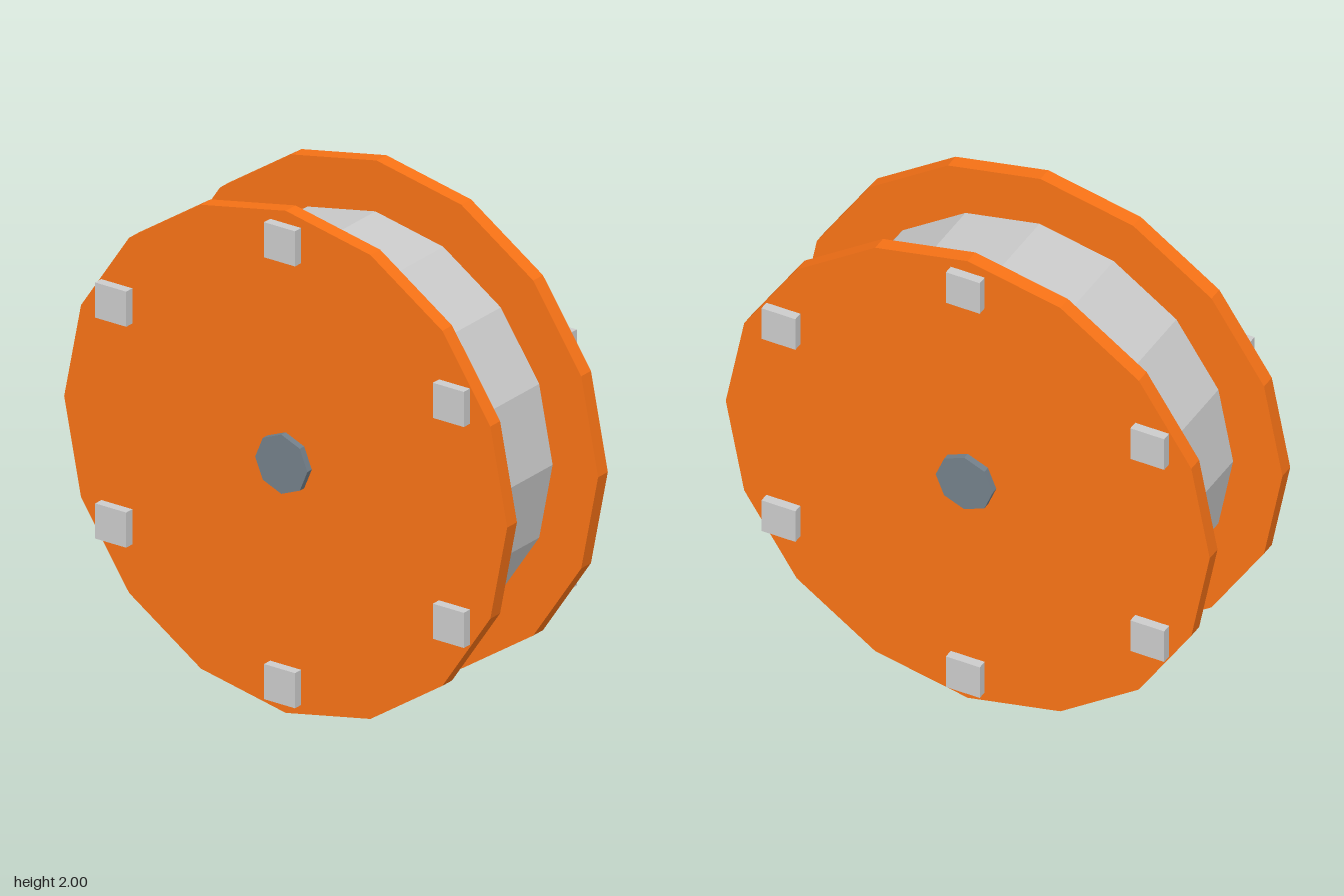
import * as THREE from 'three';

export function createModel() {
  const group = new THREE.Group();
  const mat = (color) => new THREE.MeshStandardMaterial({ color, flatShading: true });
  const orange = mat(0xf97316);
  const grey = mat(0xcccccc);
  const steel = mat(0x74808a);

  const add = (name, geometry, material, x, y, z) => {
    const mesh = new THREE.Mesh(geometry, material);
    mesh.name = name;
    mesh.position.set(x, y, z);
    group.add(mesh);
  };

  // Cylinder lying along x, with a corner pointing straight up
  const roller = (radius, length, sides) =>
    new THREE.CylinderGeometry(radius, radius, length, sides).rotateZ(Math.PI / 2);

  // Drum, inner core and axle share one axis
  add('drum', roller(0.8, 0.486, 16), grey, 0, 1, 0);
  add('core', roller(0.52, 0.51, 12), orange, 0, 1, 0);
  add('axle', roller(0.118, 0.674, 8), steel, 0, 1, 0);

  // Flanges with a ring of six square bolts on each side
  const flange = roller(1, 0.06, 16);
  const bolt = new THREE.BoxGeometry(0.05, 0.14, 0.14);
  for (const side of [-1, 1]) {
    const label = side > 0 ? 'left' : 'right';
    add(label + 'Flange', flange, orange, side * 0.28, 1, 0);
    for (let i = 0; i < 6; i++) {
      const a = (i * Math.PI) / 3;
      add(label + 'Bolt', bolt, grey, side * 0.323, 1 + 0.88 * Math.cos(a), 0.88 * Math.sin(a));
    }
  }
  return group;
}
